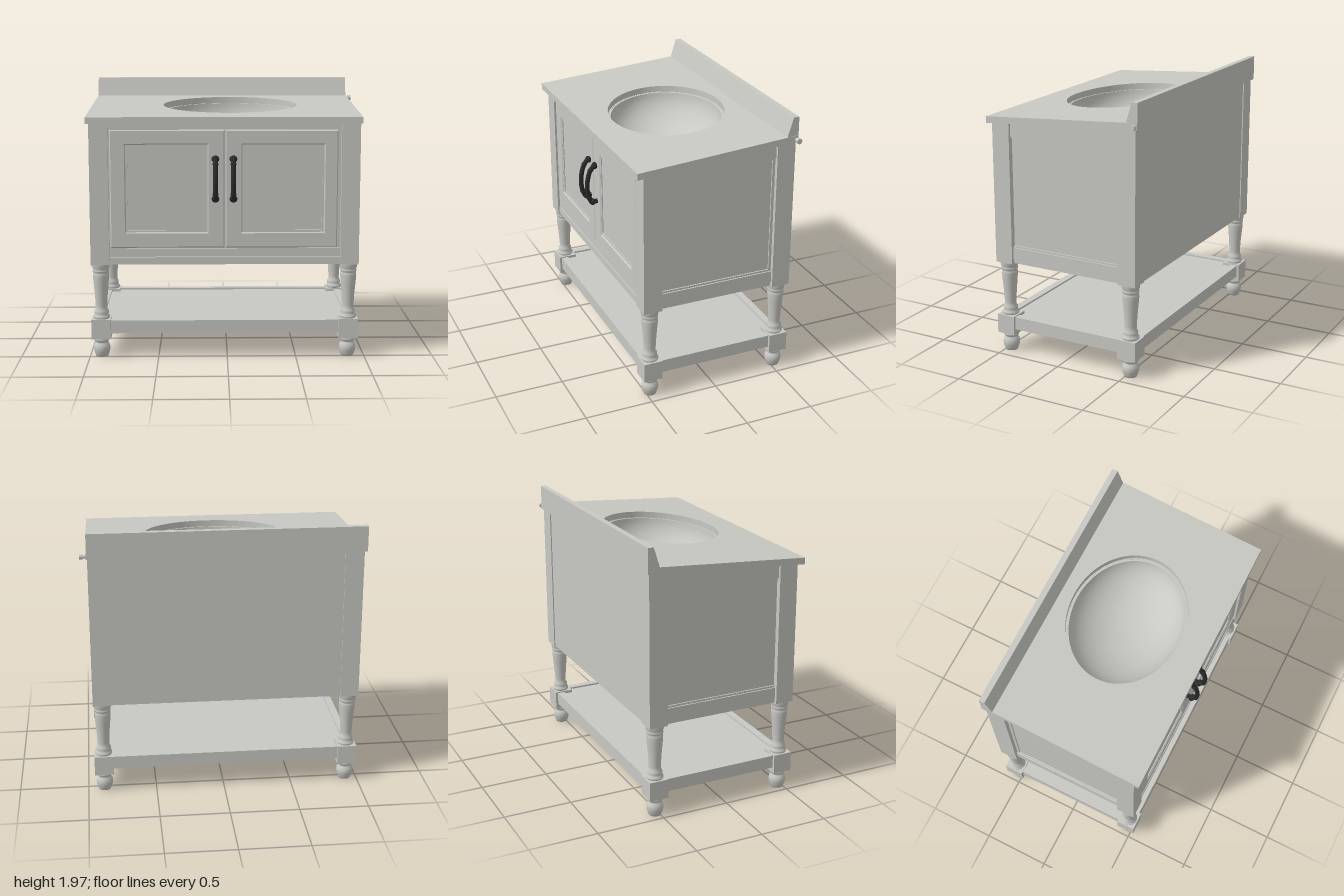
import * as THREE from 'three';

const SLOPE = 0.07;                 // the counter rises gently toward the back
const CX = -0.0175;                 // centre of the cabinet in x
const LEG_X = 0.8975, LEG_Z = [0.467, -0.528];
const topY = z => 1.796 - SLOPE * z;
const underY = z => topY(z) - 0.047;
const shear = new THREE.Matrix4().makeShear(0, 0, 0, 0, 0, -SLOPE);

export function createModel() {
  const paint = new THREE.MeshStandardMaterial({ color: 0xc8c8c3 });
  paint.name = 'pale grey paint';
  const iron = new THREE.MeshStandardMaterial({ color: 0x2b2b2b });
  iron.name = 'black iron';

  const model = new THREE.Group();
  model.name = 'washstand';
  const cabinet = new THREE.Group();
  cabinet.name = 'cabinet';
  cabinet.position.x = CX;
  model.add(cabinet);

  const add = (parent, name, geo, mat = paint) => {
    const mesh = new THREE.Mesh(geo, mat);
    mesh.name = name;
    parent.add(mesh);
    return mesh;
  };
  // Box from its limits; y1 = null makes the top follow the underside of the counter
  const box = (x0, x1, y0, y1, z0, z1) => {
    const h = (y1 ?? 2) - y0;
    const geo = new THREE.BoxGeometry(x1 - x0, h, z1 - z0)
      .translate((x0 + x1) / 2, y0 + h / 2, (z0 + z1) / 2);
    if (y1 === null) {
      const p = geo.attributes.position;
      for (let i = 0; i < p.count; i++) if (p.getY(i) > 1.99) p.setY(i, underY(p.getZ(i)));
      geo.computeVertexNormals();
    }
    return geo;
  };
  const lathe = (pts, seg = 28) => new THREE.LatheGeometry(pts.map(p => new THREE.Vector2(...p)), seg);

  // Turned legs, square blocks and corner posts
  const legProfile = [[0.055, 0.28], [0.061, 0.29], [0.061, 0.302], [0.05, 0.31], [0.052, 0.325],
    [0.052, 0.34], [0.043, 0.352], [0.042, 0.375], [0.047, 0.46], [0.055, 0.55], [0.059, 0.60],
    [0.057, 0.618], [0.052, 0.622], [0.06, 0.632], [0.06, 0.642], [0.054, 0.65], [0.064, 0.662], [0.064, 0.69]];
  const footProfile = [[0, 0], [0.044, 0], [0.05, 0.015], [0.058, 0.04], [0.061, 0.062], [0.057, 0.085],
    [0.046, 0.1], [0.044, 0.108], [0.054, 0.116], [0.056, 0.128], [0.05, 0.145]];
  for (const side of [-1, 1]) for (const z of LEG_Z) {
    const x = side * LEG_X;
    const leg = new THREE.Group();
    leg.name = 'leg';
    cabinet.add(leg);
    add(leg, 'turnedLeg', lathe(legProfile)).position.set(x, 0, z);
    add(leg, 'foot', lathe(footProfile)).position.set(x, 0, z);
    add(leg, 'legBlock', box(x - 0.07, x + 0.07, 0.14, 0.283, z - 0.07, z + 0.07));
    add(leg, 'cornerPost', box(x - 0.067, x + 0.067, 0.688, null, z - 0.068, z + 0.068));
  }

  // Lower shelf: a board inside a frame of rails
  add(cabinet, 'shelfBoard', box(-0.9, 0.9, 0.185, 0.262, -0.53, 0.47));
  add(cabinet, 'shelfFrontRail', box(-0.85, 0.85, 0.18, 0.275, 0.465, 0.52));
  add(cabinet, 'shelfBackRail', box(-0.85, 0.85, 0.18, 0.275, -0.58, -0.525));
  for (const s of [-1, 1])
    add(cabinet, 'shelfSideRail', box(s * 0.92 - 0.027, s * 0.92 + 0.027, 0.18, 0.275, -0.48, 0.42));

  // Cabinet carcass
  add(cabinet, 'bottomBoard', box(-0.9, 0.9, 0.712, 0.735, -0.56, 0.48));
  add(cabinet, 'backPanel', box(-0.84, 0.84, 0.69, null, -0.588, -0.565));
  add(cabinet, 'frontFace', box(-0.84, 0.84, 0.70, null, 0.46, 0.505));
  add(cabinet, 'frontBottomRail', box(-0.84, 0.84, 0.69, 0.743, 0.46, 0.523));
  add(cabinet, 'frontApron', box(-0.84, 0.84, 0.746, 0.806, 0.46, 0.517));
  add(cabinet, 'frontTopRail', box(-0.84, 0.84, 1.668, null, 0.46, 0.52));

  // Side walls: recessed panel, lower rail with a lip, slanted upper rail
  for (const s of [-1, 1]) {
    const slab = (outer, y0, y1, z0 = -0.465, z1 = 0.405) => {
      const xs = [s * outer, s * (outer - 0.05)].sort((a, b) => a - b);
      return box(xs[0], xs[1], y0, y1, z0, z1);
    };
    add(cabinet, 'sidePanel', slab(0.925, 0.72, null));
    add(cabinet, 'sideLip', slab(0.938, 0.69, 0.725));
    add(cabinet, 'sideLowerRail', slab(0.945, 0.728, 0.808));
    add(cabinet, 'sideLowerBead', slab(0.935, 0.80, 0.822));
    add(cabinet, 'sideUpperRail', slab(0.945, 1.652, 1.749).applyMatrix4(shear)).geometry.computeVertexNormals();
    add(cabinet, 'sideUpperBead', slab(0.935, 1.638, 1.66).applyMatrix4(shear)).geometry.computeVertexNormals();
    add(cabinet, 'sideBackBead', slab(0.935, 0.81, 1.68, -0.465, -0.44));
  }

  // Doors: bevelled frame around a recessed panel
  const rect = (path, x0, x1, y0, y1) =>
    path.moveTo(x0, y0).lineTo(x1, y0).lineTo(x1, y1).lineTo(x0, y1).closePath();
  const buildDoor = (name, x0, x1, hx0, hx1) => {
    const door = new THREE.Group();
    door.name = name;
    model.add(door);
    const shape = new THREE.Shape(), hole = new THREE.Path();
    rect(shape, x0, x1, 0.812, 1.66);
    rect(hole, hx0, hx1, 0.925, 1.555);
    shape.holes.push(hole);
    const frame = new THREE.ExtrudeGeometry(shape, { depth: 0.012, bevelEnabled: true,
      bevelSegments: 1, bevelSize: 0.008, bevelThickness: 0.008, bevelOffset: -0.008 });
    add(door, 'doorFrame', frame.translate(0, 0, 0.506));
    add(door, 'doorPanel', box(hx0 - 0.02, hx1 + 0.02, 0.9, 1.58, 0.504, 0.511));
    // narrow moulding inside the opening
    const outer = new THREE.Shape(), inner = new THREE.Path();
    rect(outer, hx0 - 0.01, hx1 + 0.01, 0.915, 1.565);
    rect(inner, hx0 + 0.014, hx1 - 0.014, 0.939, 1.541);
    outer.holes.push(inner);
    add(door, 'doorMoulding', new THREE.ExtrudeGeometry(outer, { depth: 0.007, bevelEnabled: false })
      .translate(0, 0, 0.51));
  };
  buildDoor('rightDoor', -0.838, -0.019, -0.725, -0.142);
  buildDoor('leftDoor', -0.013, 0.79, 0.108, 0.692);

  // Arched pulls with beaded ends
  for (const x of [-0.085, 0.043]) {
    const pull = new THREE.Group();
    pull.name = 'doorPull';
    pull.position.x = x;
    model.add(pull);
    const curve = new THREE.CatmullRomCurve3([[1.465, 0.54], [1.41, 0.578], [1.31, 0.6], [1.22, 0.592], [1.165, 0.568]]
      .map(([y, z]) => new THREE.Vector3(0, y, z)));
    add(pull, 'pullBar', new THREE.TubeGeometry(curve, 24, 0.017, 10), iron);
    for (const [y, z] of [[1.455, 0.54], [1.172, 0.563]]) {
      add(pull, 'pullEnd', new THREE.SphereGeometry(0.028, 16, 10).scale(1, 0.9, 0.75), iron).position.set(0, y, z);
      add(pull, 'pullStem', new THREE.CylinderGeometry(0.014, 0.02, z - 0.515, 12).rotateX(Math.PI / 2), iron)
        .position.set(0, y, (z + 0.515) / 2);
    }
    for (const t of [0.2, 0.8]) {
      const p = curve.getPoint(t);
      add(pull, 'pullCollar', new THREE.SphereGeometry(0.022, 12, 8).scale(1, 0.6, 1), iron).position.copy(p);
    }
  }

  // Sloping counter with an oval opening
  const slab = new THREE.Shape(), oval = new THREE.Path();
  rect(slab, -1, 0.955, -0.58, 0.612);
  oval.absellipse(0.03, 0.028, 0.498, 0.41, 0, Math.PI * 2, true);
  slab.holes.push(oval);
  const counter = new THREE.ExtrudeGeometry(slab, { depth: 0.047, bevelEnabled: false, curveSegments: 64 })
    .rotateX(-Math.PI / 2).translate(0, 1.749, 0).applyMatrix4(shear);
  counter.computeVertexNormals();
  add(model, 'counter', counter);

  // Oval basin, seen from inside
  const bowl = [];
  for (let i = 0; i <= 16; i++) {
    const a = (i / 16) * Math.PI / 2;
    bowl.push([Math.cos(a), -Math.sin(a)]);
  }
  bowl[16][0] = 0;
  add(model, 'basin', lathe(bowl, 64).scale(0.49, 0.3, 0.402).translate(0.03, 1.752, -0.028).applyMatrix4(shear));
  // narrow ledge where the basin meets the counter
  const ledge = new THREE.RingGeometry(0.97, 1.06, 64).rotateX(-Math.PI / 2)
    .scale(0.49, 1, 0.402).translate(0.03, 1.7505, -0.028).applyMatrix4(shear);
  add(model, 'basinRim', ledge);

  // Backsplash with a leaning front face
  const splash = new THREE.Shape([[0.526, 1.828], [0.612, 1.832], [0.612, 1.972], [0.57, 1.972]]
    .map(p => new THREE.Vector2(...p)));
  add(model, 'backsplash', new THREE.ExtrudeGeometry(splash, { depth: 1.952, bevelEnabled: false })
    .rotateY(Math.PI / 2).translate(-1, 0, 0));

  // Small peg at the back corner
  add(model, 'peg', new THREE.CylinderGeometry(0.013, 0.013, 0.06, 16).rotateZ(Math.PI / 2))
    .position.set(0.955, 1.81, -0.597);
  add(model, 'pegHead', new THREE.CylinderGeometry(0.019, 0.019, 0.025, 16).rotateZ(Math.PI / 2))
    .position.set(0.9875, 1.81, -0.597);
  return model;
}
